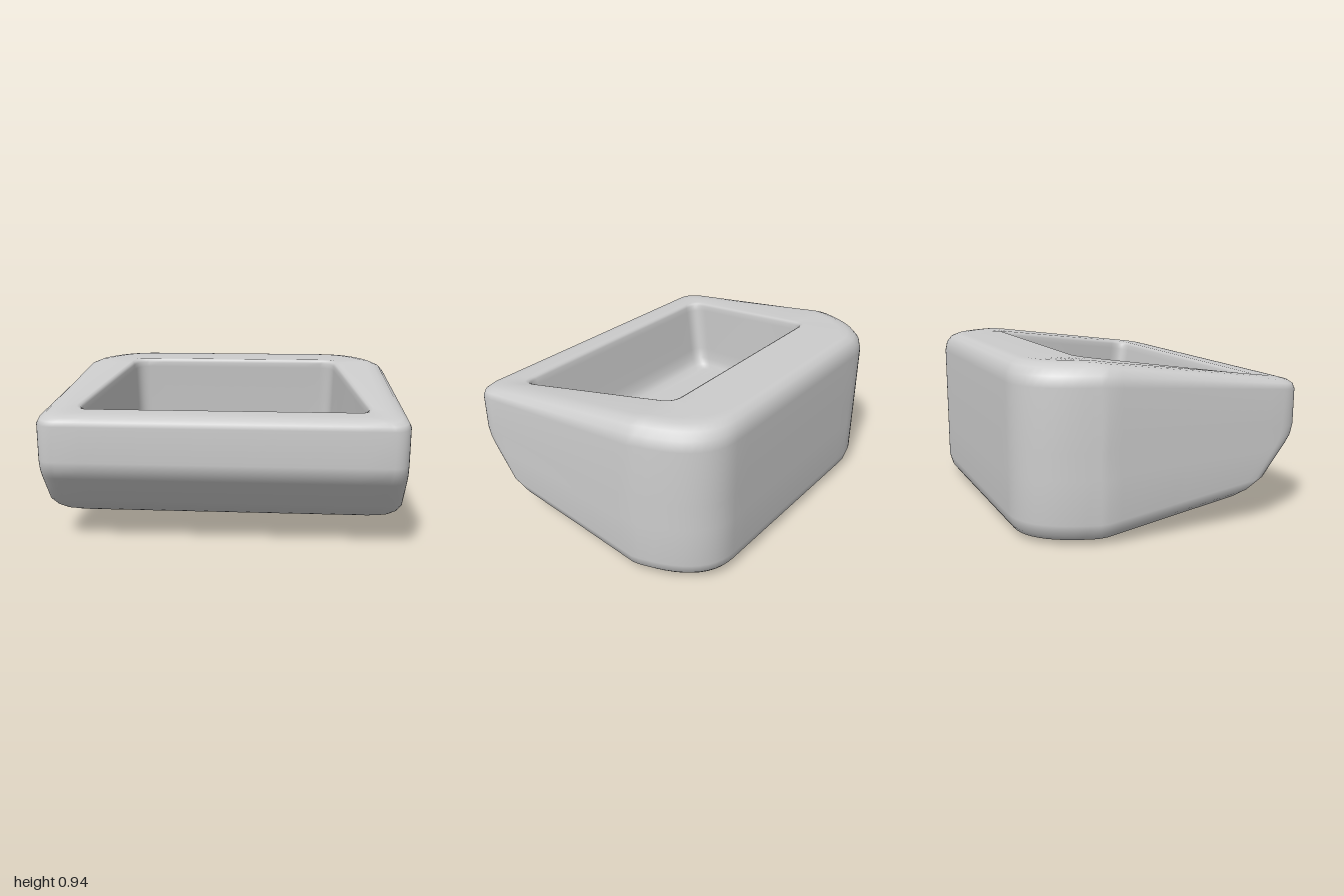
import * as THREE from 'three';

// Closed symmetric plan outline: front centre -> +x side -> back centre -> mirrored.
// front and back are [start, control, end] corner curves as [x, z] pairs; bend is a point on the side.
function planOutline(front, bend, back) {
  const half = [];
  const line = (a, b, n) => {
    for (let i = 0; i < n; i++) {
      const t = i / n;
      half.push([a[0] + (b[0] - a[0]) * t, a[1] + (b[1] - a[1]) * t]);
    }
  };
  const corner = ([a, c, b], n = 10) => {
    for (let i = 0; i < n; i++) {
      const t = i / n, u = 1 - t;
      half.push([0, 1].map(k => u * u * a[k] + 2 * u * t * c[k] + t * t * b[k]));
    }
  };
  line([0, front[0][1]], front[0], 6);
  corner(front);
  line(front[2], bend, 14);
  line(bend, back[0], 3);
  corner(back);
  line(back[2], [0, back[2][1]], 6);
  const mirrored = half.slice(1).reverse().map(([x, z]) => [-x, z]);
  return [...half, [0, back[2][1]], ...mirrored];
}

// Ring: [x scale, back z, front z, y at front, y at back]; level behind z = -0.4, sloping ahead of it
function placeRing(outline, [sx, zb, zf, yf, yb]) {
  const maxZ = Math.max(...outline.map(p => p[1]));
  const minZ = Math.min(...outline.map(p => p[1]));
  return outline.map(([x, z]) => {
    const pz = z > 0 ? z * zf / maxZ : z * zb / minZ;
    const t = Math.max(0, (pz + 0.4) / (zf + 0.4));
    return [x * sx, yb + (yf - yb) * t, pz];
  });
}

// Skin consecutive rings into one smooth surface
function loft(rings) {
  const n = rings[0].length, index = [];
  for (let r = 0; r < rings.length - 1; r++) {
    for (let i = 0; i < n; i++) {
      const j = (i + 1) % n;
      const a = r * n + i, b = r * n + j, c = a + n, d = b + n;
      index.push(a, b, d, a, d, c);
    }
  }
  const geo = new THREE.BufferGeometry();
  geo.setAttribute('position', new THREE.Float32BufferAttribute(rings.flat(2), 3));
  geo.setIndex(index);
  geo.computeVertexNormals();
  return geo;
}

export function createModel() {
  const group = new THREE.Group();
  group.name = 'openBin';
  const grey = new THREE.MeshStandardMaterial({ color: 0xcccccc });
  grey.name = 'light grey';

  const bodyPlan = planOutline(
    [[0.89, 0.78], [1, 0.78], [1, 0.66]],
    [0.985, -0.37],
    [[0.95, -0.48], [0.85, -0.78], [0.62, -0.78]]);
  const openingPlan = planOutline(
    [[0.71, 0.59], [0.8, 0.59], [0.787, 0.49]],
    [0.68, -0.18],
    [[0.655, -0.32], [0.643, -0.39], [0.57, -0.39]]);

  // Underside, front chamfer, walls and rounded top edge
  const bodyRings = [
    [0, -0.65, 0.40, 0.143, 0],
    [0.83, -0.65, 0.40, 0.143, 0],
    [0.89, -0.70, 0.42, 0.148, 0.006],
    [0.945, -0.74, 0.45, 0.163, 0.025],
    [0.98, -0.765, 0.51, 0.20, 0.06],
    [1, -0.78, 0.59, 0.26, 0.12],
    [1, -0.78, 0.73, 0.425, 0.35],
    [1, -0.78, 0.765, 0.475, 0.42],
    [1, -0.78, 0.78, 0.53, 0.5],
    [1, -0.78, 0.78, 0.725, 0.82],
    [0.985, -0.77, 0.776, 0.752, 0.875],
    [0.955, -0.745, 0.76, 0.769, 0.912],
    [0.915, -0.71, 0.73, 0.778, 0.93],
    [0.87, -0.67, 0.70, 0.785, 0.935],
  ];
  // Rolled lip, then walls sunk square to the sloping top, down to a parallel floor
  const trayRings = [
    [1.03, -0.41, 0.61, 0.79, 0.932],
    [1.01, -0.397, 0.597, 0.785, 0.925],
    [1, -0.39, 0.59, 0.772, 0.91],
    [0.998, -0.395, 0.583, 0.74, 0.88],
    [0.99, -0.435, 0.54, 0.46, 0.56],
    [0.98, -0.437, 0.525, 0.39, 0.49],
    [0.96, -0.425, 0.495, 0.35, 0.45],
    [0.925, -0.39, 0.45, 0.33, 0.43],
    [0, -0.39, 0.45, 0.33, 0.43],
  ];

  const shell = new THREE.Mesh(loft([
    ...bodyRings.map(r => placeRing(bodyPlan, r)),
    ...trayRings.map(r => placeRing(openingPlan, r)),
  ]), grey);
  shell.name = 'binShell';
  group.add(shell);
  return group;
}
